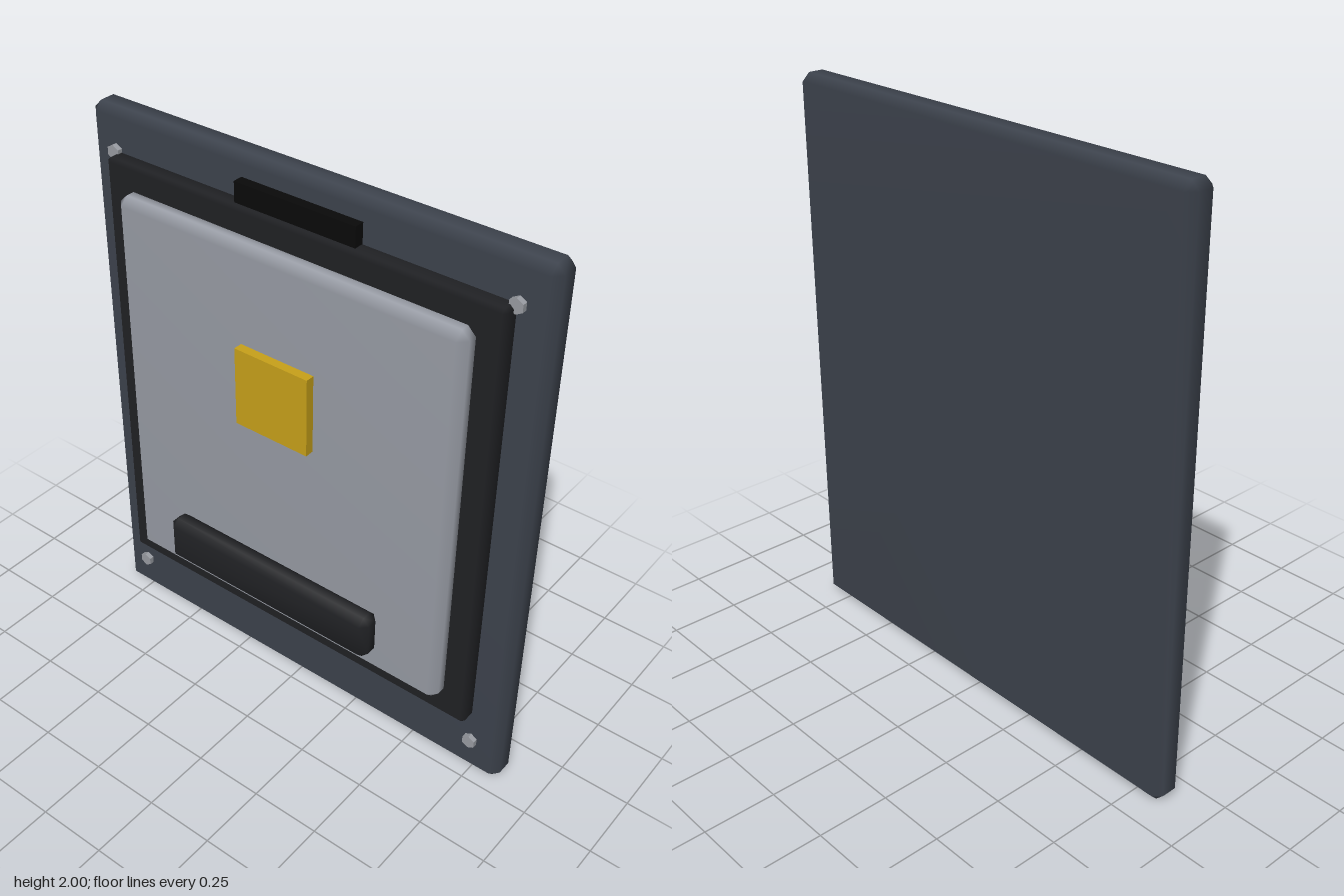
import * as THREE from 'three';
import { ConvexGeometry } from 'three/addons/geometries/ConvexGeometry.js';
import { mergeVertices } from 'three/addons/utils/BufferGeometryUtils.js';

// Box with every edge cut by a single chamfer, softly shaded
function chamferBox(w, h, d, c) {
  const points = [];
  for (const sx of [-1, 1]) for (const sy of [-1, 1]) for (const sz of [-1, 1]) {
    for (let axis = 0; axis < 3; axis++) {
      const inset = [c, c, c];
      inset[axis] = 0;
      points.push(new THREE.Vector3(
        sx * (w / 2 - inset[0]), sy * (h / 2 - inset[1]), sz * (d / 2 - inset[2])));
    }
  }
  let geometry = new ConvexGeometry(points);
  geometry.deleteAttribute('normal');
  geometry = mergeVertices(geometry, 1e-5);
  geometry.computeVertexNormals();
  return geometry;
}

export function createModel() {
  const group = new THREE.Group();
  const paint = (color) => new THREE.MeshStandardMaterial({ color });
  const slate = paint(0x3d434d), rubber = paint(0x202124), black = paint(0x0a0a0a);
  const silver = paint(0x989ca5), gold = paint(0xc9a21a), steel = paint(0x9a9da3);

  // Adds a box centred on x from its width and its y and z ranges
  function slab(name, width, [y0, y1], [z0, z1], chamfer, material) {
    const h = y1 - y0, d = z1 - z0;
    const geometry = chamfer ? chamferBox(width, h, d, chamfer) : new THREE.BoxGeometry(width, h, d);
    const mesh = new THREE.Mesh(geometry, material);
    mesh.name = name;
    mesh.position.set(0, (y0 + y1) / 2, (z0 + z1) / 2);
    group.add(mesh);
  }

  slab('backPlate', 1.71, [0, 2], [-0.155, -0.045], 0.028, slate);
  slab('darkFrame', 1.48, [0.26, 1.86], [-0.055, 0.012], 0.012, rubber);
  slab('doorPanel', 1.31, [0.35, 1.775], [-0.02, 0.07], 0.028, silver);
  slab('hinge', 0.45, [1.79, 1.93], [-0.05, -0.01], 0, black);
  slab('badge', 0.285, [1.148, 1.432], [0.06, 0.102], 0, gold);
  slab('handle', 0.855, [0.462, 0.632], [0.07, 0.155], 0.025, rubber);

  // Hexagonal bolts in the four corners
  const boltGeometry = new THREE.CylinderGeometry(0.026, 0.026, 0.04, 6).toNonIndexed();
  boltGeometry.computeVertexNormals();
  boltGeometry.rotateX(Math.PI / 2);
  for (const x of [-0.745, 0.745]) for (const y of [0.145, 1.86]) {
    const bolt = new THREE.Mesh(boltGeometry, steel);
    bolt.name = 'bolt';
    bolt.position.set(x, y, -0.047);
    group.add(bolt);
  }
  return group;
}
